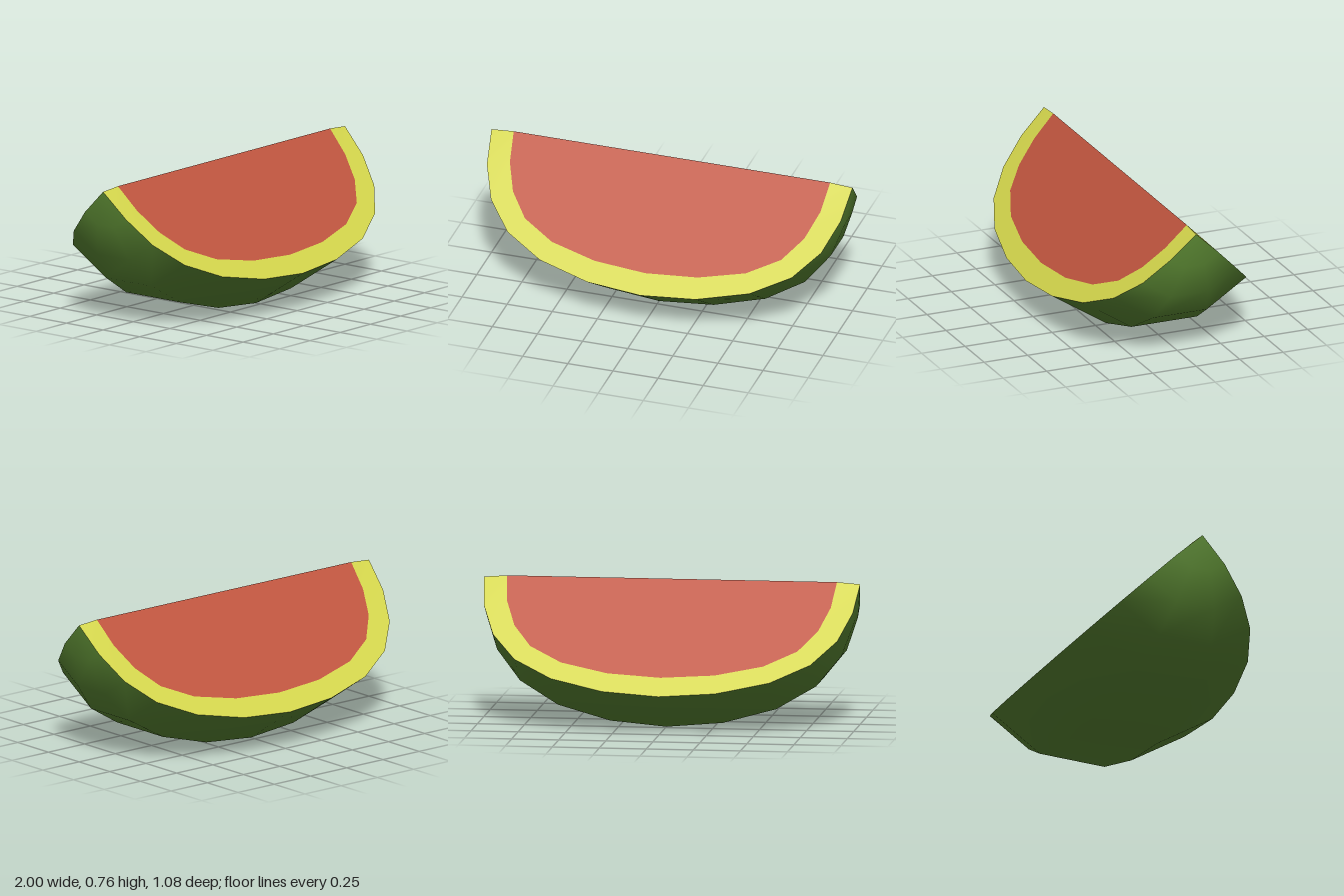
import * as THREE from 'three';
import { mergeVertices } from 'three/addons/utils/BufferGeometryUtils.js';

const TOP = 0.757; // height of the ridge where both cuts meet
const STEPS = 12;  // segments from tip to tip

// x positions from the middle to the tip, for the skin and for the flesh
const OUTER_X = [0, 0.3, 0.58, 0.787, 0.915, 0.98, 1];
const INNER_X = [0, 0.285, 0.537, 0.71, 0.807, 0.86, 0.877];

// Cross-section of the skin at the middle: [z, depth below the ridge]
const SECTION = [[0.54, 0.547], [0.218, 0.755], [-0.218, 0.755], [-0.54, 0.547]];

// Surface through rows of points, with smooth normals
function loft(rows) {
  const n = rows[0].length;
  const index = [];
  for (let i = 0; i < rows.length - 1; i++) {
    for (let j = 0; j < n - 1; j++) {
      const a = i * n + j, b = a + n;
      index.push(a, a + 1, b + 1, a, b + 1, b);
    }
  }
  const g = new THREE.BufferGeometry();
  g.setAttribute('position', new THREE.Float32BufferAttribute(rows.flat(2), 3));
  g.setIndex(index);
  const merged = mergeVertices(g, 1e-5);
  merged.computeVertexNormals();
  return merged;
}

// One station along the length: x of skin and flesh, and relative radius
function station(i) {
  const k = i - STEPS / 2;
  const s = Math.sign(k), m = Math.abs(k);
  const scale = m === STEPS / 2 ? 0 : Math.cos(m * Math.PI / STEPS);
  return { outer: s * OUTER_X[m], inner: s * INNER_X[m], scale };
}

export function createModel() {
  const skinMat = new THREE.MeshStandardMaterial({ color: 0x5e8c35 });
  const rindMat = new THREE.MeshStandardMaterial({ color: 0xd4d64c });
  const fleshMat = new THREE.MeshStandardMaterial({ color: 0xc0553f });
  skinMat.name = 'green skin';
  rindMat.name = 'yellow rind';
  fleshMat.name = 'red flesh';

  const group = new THREE.Group();
  group.name = 'melonSlice';
  const add = (name, rows, material) => {
    const mesh = new THREE.Mesh(loft(rows), material);
    mesh.name = name;
    group.add(mesh);
  };

  const stations = Array.from({ length: STEPS + 1 }, (_, i) => station(i));

  // Tips of the skin sit slightly below the ridge
  const skinTop = (s) => (s.scale === 0 ? TOP - 0.009 : TOP);

  // Curved outer skin
  add('skin', stations.map((s) => SECTION.map(([z, d]) =>
    [s.outer, skinTop(s) - d * s.scale, z * s.scale])), skinMat);

  // The two flat cuts: flesh in the middle, rind around it
  for (const side of [1, -1]) {
    const label = side > 0 ? 'front' : 'back';
    const order = side > 0 ? stations : [...stations].reverse();
    const innerPoint = (s) => [s.inner, TOP - 0.459 * s.scale, side * 0.453 * s.scale];
    add(label + 'Flesh', order.map((s) => [[s.inner, TOP, 0], innerPoint(s)]), fleshMat);
    add(label + 'Rind', order.map((s) => [
      innerPoint(s),
      [s.outer, skinTop(s) - 0.547 * s.scale, side * 0.54 * s.scale],
    ]), rindMat);
  }
  return group;
}
